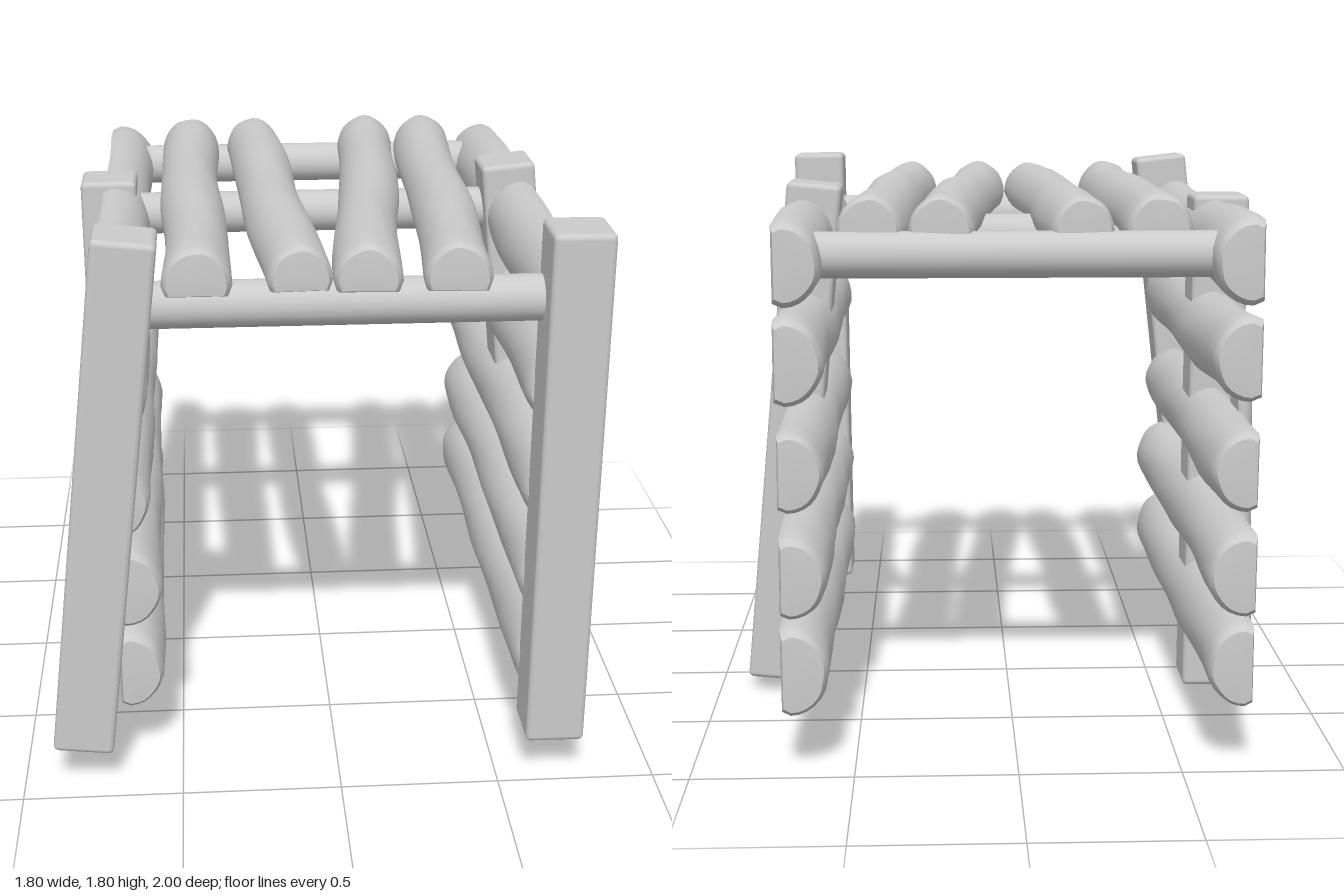
import * as THREE from 'three';
import { toCreasedNormals } from 'three/addons/utils/BufferGeometryUtils.js';
import { RoundedBoxGeometry } from 'three/addons/geometries/RoundedBoxGeometry.js';

const material = new THREE.MeshStandardMaterial({ color: 0xcccccc });
const V = (x, y, z) => new THREE.Vector3(x, y, z);

function add(group, name, geometry) {
  const mesh = new THREE.Mesh(geometry, material);
  mesh.name = name;
  group.add(mesh);
  return mesh;
}

// D-shaped section: flat base, rounded top, running counterclockwise
const SECTION = [];
for (let k = 0; k <= 14; k++) {
  const t = (k / 14) * Math.PI;
  SECTION.push([Math.cos(t), 0.2 + 0.8 * Math.sin(t)]);
}
SECTION.push([-0.9, 0], [0.9, 0]);

// Hand-hewn half log from a to b; its round side faces the bulge direction
function halfLog(a, b, width, height, bulge, seed) {
  const length = a.distanceTo(b);
  const stations = [[0, 0.84], [0.008, 0.94], [0.025, 1]];
  for (let i = 1; i < 14; i++) stations.push([0.025 + (0.95 * i) / 14, 1]);
  stations.push([0.975, 1], [0.992, 0.94], [1, 0.84]);
  const n = SECTION.length;
  const pos = [];
  const index = [];
  stations.forEach(([s, scale], i) => {
    const swell = scale * (1 + 0.035 * Math.sin(s * 13 + seed * 2.3));
    const drift = 0.035 * width * Math.sin(s * 8 + seed * 1.7);
    SECTION.forEach(([u, v], j) => {
      const knot = 1 + 0.03 * Math.sin(j * 1.3 + s * 19 + seed);
      pos.push(u * swell * width / 2 + drift, (0.4 + (v - 0.4) * swell * knot) * height, s * length);
      if (i === 0) return;
      const p = (i - 1) * n + j, q = (i - 1) * n + (j + 1) % n;
      index.push(p, q, q + n, p, q + n, p + n);
    });
  });
  // End caps
  const last = (stations.length - 1) * n;
  const c = pos.length / 3;
  pos.push(0, 0.4 * height, -0.006, 0, 0.4 * height, length + 0.006);
  for (let j = 0; j < n; j++) {
    const k = (j + 1) % n;
    index.push(c, k, j, c + 1, last + j, last + k);
  }
  const g = new THREE.BufferGeometry();
  g.setAttribute('position', new THREE.Float32BufferAttribute(pos, 3));
  g.setIndex(index);
  const z = b.clone().sub(a).normalize();
  const x = bulge.clone().cross(z).normalize();
  const y = z.clone().cross(x);
  g.applyMatrix4(new THREE.Matrix4().makeBasis(x, y, z).setPosition(a));
  return toCreasedNormals(g, 0.7);
}

// Squared post with softened edges between two end points
function post(group, name, bottom, top, w, d) {
  const axis = top.clone().sub(bottom);
  const mesh = add(group, name, new RoundedBoxGeometry(w, axis.length(), d, 2, 0.018));
  mesh.position.copy(bottom).add(top).multiplyScalar(0.5);
  mesh.quaternion.setFromUnitVectors(V(0, 1, 0), axis.normalize());
}

export function createModel() {
  const model = new THREE.Group();
  model.name = 'logShelter';

  // Posts, two of them splayed
  post(model, 'frontLeftPost', V(0.68, 0.13, 0.89), V(0.69, 1.8, 0.9), 0.185, 0.2);
  post(model, 'frontRightPost', V(-0.81, 0.125, 0.85), V(-0.62, 1.79, 0.86), 0.19, 0.2);
  post(model, 'middleLeftPost', V(0.81, 0.045, -0.115), V(0.64, 1.745, -0.13), 0.18, 0.2);
  post(model, 'middleRightPost', V(-0.7, 0, -0.11), V(-0.705, 1.705, -0.135), 0.185, 0.19);

  // Round cross beams under the roof
  for (const [name, x0, x1, z] of [
    ['frontBeam', -0.6, 0.64, 0.85],
    ['middleBeam', -0.7, 0.62, -0.15],
    ['backBeam', -0.62, 0.64, -0.84],
  ]) {
    const beam = add(model, name, new THREE.CylinderGeometry(0.07, 0.07, x1 - x0, 20));
    beam.rotation.z = Math.PI / 2;
    beam.position.set((x0 + x1) / 2, 1.57, z);
  }

  // Wall logs, flat side outward
  [0.325, 0.62, 0.93, 1.26, 1.56].forEach((y, i) => {
    for (const side of [1, -1]) {
      const height = i === 0 ? 0.275 : 0.26;
      const inset = side < 0 && i < 2 ? 0.025 : 0;
      const x = side * 0.72;
      add(model, side > 0 ? 'leftWallLog' : 'rightWallLog',
        halfLog(V(x - side * inset, y, 0.82), V(x, y, -0.99), height, 0.145, V(-side, 0, 0), i + side * 3));
    }
  });

  // Roof logs, round side up
  [[-0.415, -0.435, 0.96, -0.84], [-0.125, -0.2, 0.94, -0.86],
    [0.075, 0.235, 0.95, -0.86], [0.345, 0.44, 0.95, -0.85]].forEach(([x0, x1, z0, z1], i) => {
    add(model, 'roofLog', halfLog(V(x0, 1.62, z0), V(x1, 1.6, z1), 0.2, 0.145, V(0, 1, 0), i + 9));
  });

  // Loose braces nailed outside the right wall
  [[1.54, 0.06, 1.06, 0.54, 0.13], [0.38, 0.05, 1, 0.62, 0.12], [1.14, -0.5, 0.34, -0.58, 0.17]]
    .forEach(([y0, z0, y1, z1, width], i) => {
      add(model, 'brace', halfLog(V(-0.715, y0, z0), V(-0.715, y1, z1), width, 0.055, V(-1, 0, 0), i + 15));
    });

  return model;
}
